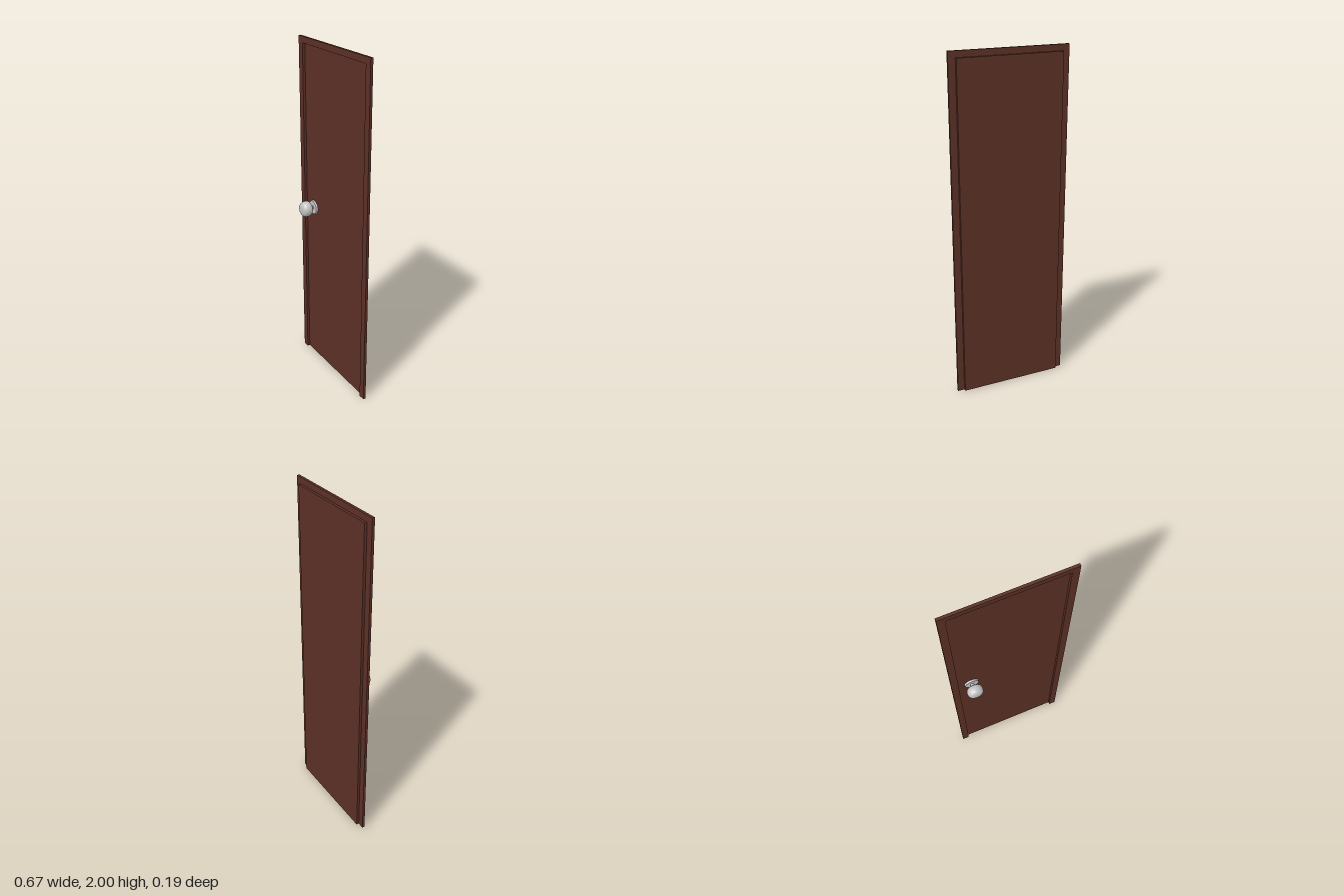
import * as THREE from 'three';

export function createModel() {
  const wood = new THREE.MeshStandardMaterial({ color: 0x5b3026 });
  wood.name = 'dark red-brown wood';
  const metal = new THREE.MeshStandardMaterial({ color: 0xc4c4c4 });
  metal.name = 'light grey metal';

  const door = new THREE.Group();
  door.name = 'door';
  const add = (name, geometry, material, x, y, z, parent = door) => {
    const mesh = new THREE.Mesh(geometry, material);
    mesh.name = name;
    mesh.position.set(x, y, z);
    parent.add(mesh);
    return mesh;
  };

  const halfW = 0.344, inner = 0.304, top = 2, panelTop = 1.965;
  const back = -0.021, step = -0.006, front = 0.009;

  // Frame: one piece, open at the bottom
  const outline = new THREE.Shape([
    [-halfW, 0], [-inner, 0], [-inner, panelTop], [inner, panelTop],
    [inner, 0], [halfW, 0], [halfW, top], [-halfW, top],
  ].map(([x, y]) => new THREE.Vector2(x, y)));
  add('frame', new THREE.ExtrudeGeometry(outline, { depth: front - step, bevelEnabled: false }),
    wood, 0, 0, step);

  // Panel set behind the frame
  add('panel', new THREE.BoxGeometry(inner * 2, panelTop, step - back),
    wood, 0, panelTop / 2, (step + back) / 2);

  // Knob turned around an axis that points out of the panel
  const handle = new THREE.Group();
  handle.name = 'handle';
  handle.position.set(-0.225, 1.02, step);
  handle.rotation.x = Math.PI / 2;
  door.add(handle);
  add('rosette', new THREE.CylinderGeometry(0.04, 0.043, 0.01, 32), metal, 0, 0.005, 0, handle);
  add('shaft', new THREE.CylinderGeometry(0.011, 0.011, 0.03, 24), metal, 0, 0.015, 0, handle);
  const profile = new THREE.SplineCurve([
    [0, 0.027], [0.018, 0.027], [0.033, 0.029], [0.043, 0.038], [0.0465, 0.052],
    [0.044, 0.069], [0.036, 0.081], [0.022, 0.087], [0, 0.089],
  ].map(([r, h]) => new THREE.Vector2(r, h))).getPoints(32);
  profile.forEach((p) => { p.x = Math.max(p.x, 0); });
  add('knob', new THREE.LatheGeometry(profile, 32), metal, 0, 0, 0, handle);

  // The door stands slightly swung open
  door.rotation.y = -0.2475;
  const model = new THREE.Group();
  model.name = 'swungDoor';
  model.add(door);
  return model;
}
